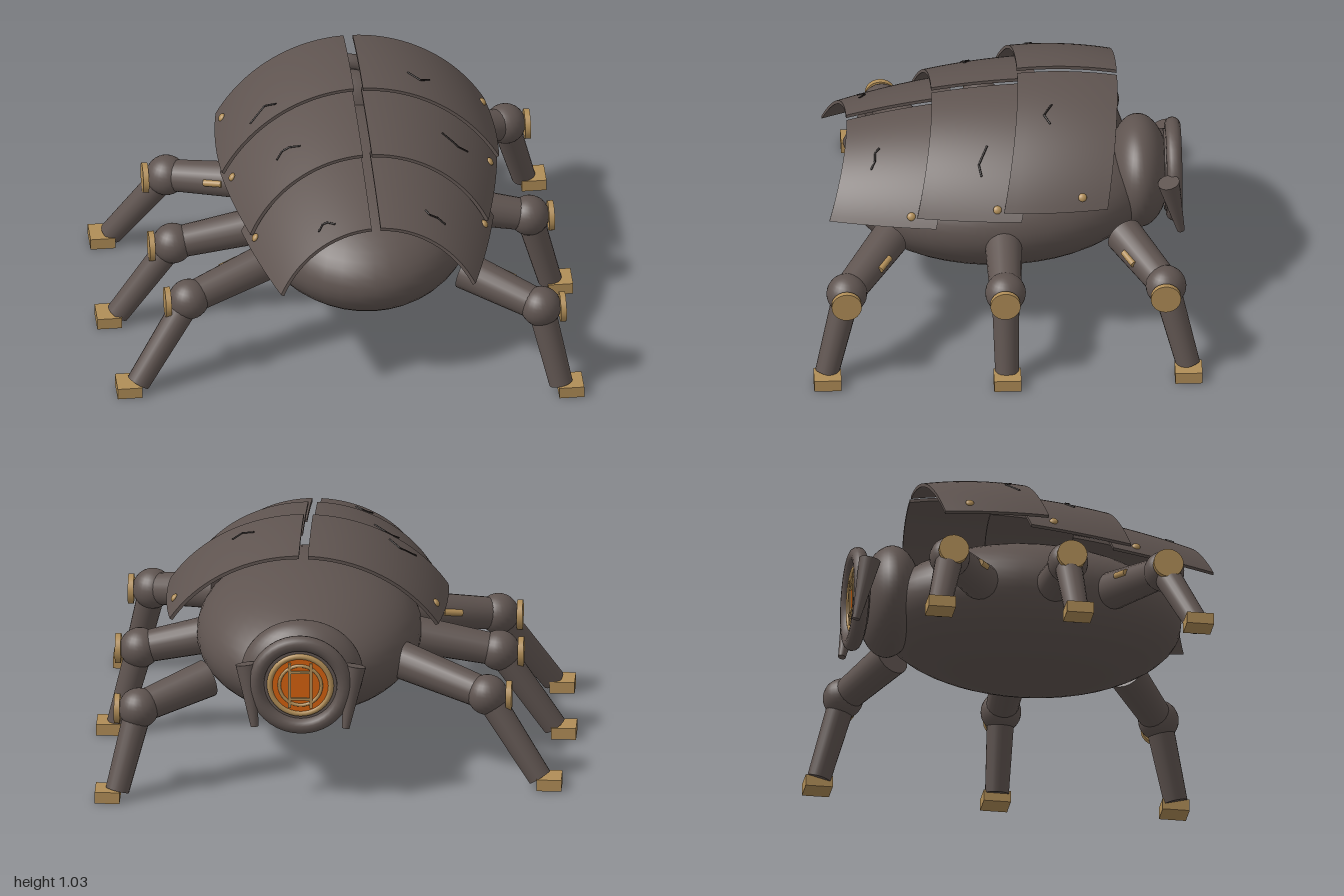
import * as THREE from 'three';

const mat = (name, color) => {
  const m = new THREE.MeshStandardMaterial({ color });
  m.name = name;
  return m;
};
const V = (x, y, z) => new THREE.Vector3(x, y, z);
const CX = 0.112; // centre line of the body

// Shell plates, front to rear: [front edge, rear edge] values at the ridge (top) and at the side
const PLATES = [
  { zTop: [0.64, 0.2], yTop: [0.805, 0.888], zSide: [0.726, 0.285], ySide: [0.555, 0.582], w: [0.408, 0.53], bulge: 0.008 },
  { zTop: [0.285, -0.15], yTop: [0.932, 0.97], zSide: [0.363, -0.07], ySide: [0.618, 0.64], w: [0.5, 0.582], bulge: 0.008 },
  { zTop: [-0.073, -0.49], yTop: [1.02, 1.0], zSide: [0.004, -0.43], ySide: [0.687, 0.684], w: [0.582, 0.562], bulge: 0.014 },
];

// Circular arc of a plate at fraction f of its length
function arcAt(p, f) {
  const mix = (a) => a[0] + (a[1] - a[0]) * f;
  const b = p.bulge * 4 * f * (1 - f);
  const w = mix(p.w) + b, y = mix(p.yTop) + b, drop = y - mix(p.ySide);
  const R = (w * w + drop * drop) / (2 * drop);
  return { y, drop, R, max: Math.asin(w / R), z: mix(p.zTop), dz: mix(p.zSide) - mix(p.zTop) };
}

function platePoint(p, s, f, theta, depth) {
  const a = arcAt(p, f);
  const fall = a.R * (1 - Math.cos(theta));
  const r = a.R - depth;
  return V(CX + s * r * Math.sin(theta), a.y - a.R + r * Math.cos(theta), a.z + a.dz * fall / a.drop);
}

// Point on a plate from its offset u from the centre line and its z
function onPlate(p, u, z, lift) {
  let f = 0.5, theta = 0;
  for (let i = 0; i < 12; i++) {
    const a = arcAt(p, f);
    theta = Math.asin(Math.min(1, Math.abs(u) / a.R));
    const ridgeZ = z - a.dz * a.R * (1 - Math.cos(theta)) / a.drop;
    f = (ridgeZ - p.zTop[0]) / (p.zTop[1] - p.zTop[0]);
  }
  return { pos: platePoint(p, Math.sign(u), f, theta, -lift), angle: -Math.sign(u) * theta };
}

// A box bent into half of a shell plate
function plateGeometry(p, s) {
  const g = new THREE.BoxGeometry(1, 1, 1, 24, 1, 10);
  const pos = g.attributes.position;
  for (let i = 0; i < pos.count; i++) {
    const f = 0.5 - pos.getZ(i);
    const t = 0.5 + s * pos.getX(i);
    const a = arcAt(p, f);
    const start = Math.asin(0.019 / a.R);
    const q = platePoint(p, s, f, start + (a.max - start) * t, (0.5 - pos.getY(i)) * 0.014);
    pos.setXYZ(i, q.x, q.y, q.z);
  }
  g.computeVertexNormals();
  return g;
}

export function createModel() {
  const shell = mat('dark brown metal', 0x5f5450);
  const brass = mat('brass', 0xb08d57);
  const glow = mat('orange eye', 0xd4600f);
  const crack = mat('crack black', 0x1f1a19);

  const model = new THREE.Group();
  model.name = 'mechanicalBeetle';
  const add = (name, geo, m, x = 0, y = 0, z = 0, parent = model) => {
    const mesh = new THREE.Mesh(geo, m);
    mesh.name = name;
    mesh.position.set(x, y, z);
    parent.add(mesh);
    return mesh;
  };
  // Tapered rod from a to b
  const rod = (name, a, b, ra, rb, m, parent) => {
    const d = b.clone().sub(a), c = a.clone().add(b).multiplyScalar(0.5);
    const mesh = add(name, new THREE.CylinderGeometry(rb, ra, d.length(), 20), m, c.x, c.y, c.z, parent);
    mesh.quaternion.setFromUnitVectors(V(0, 1, 0), d.normalize());
    return mesh;
  };

  // Body and head
  const ball = new THREE.SphereGeometry(1, 40, 28);
  add('body', ball, shell, CX, 0.47, 0.01).scale.set(0.47, 0.28, 0.64);
  add('head', ball, shell, CX, 0.515, -0.58).scale.set(0.255, 0.23, 0.13);

  // Eye with rim and grille
  const eye = new THREE.Group();
  eye.name = 'eye';
  eye.position.set(CX, 0.517, -0.725);
  eye.rotation.y = Math.PI;
  model.add(eye);
  add('eyeSocketRim', new THREE.TorusGeometry(0.185, 0.033, 14, 40), shell, 0, 0, 0, eye);
  add('eyeBacking', new THREE.CylinderGeometry(0.17, 0.17, 0.04, 32), shell, 0, 0, -0.02, eye).rotation.x = Math.PI / 2;
  add('eyeLens', new THREE.CylinderGeometry(0.125, 0.125, 0.03, 32), glow, 0, 0, -0.006, eye).rotation.x = Math.PI / 2;
  add('eyeRing', new THREE.TorusGeometry(0.128, 0.012, 10, 36), brass, 0, 0, 0.006, eye);
  add('innerEyeRing', new THREE.TorusGeometry(0.088, 0.007, 8, 32), brass, 0, 0, 0.01, eye);
  for (const s of [-1, 1]) {
    add('grilleBar', new THREE.BoxGeometry(0.012, 0.2, 0.012), brass, s * 0.045, 0, 0.012, eye);
    add('grilleCrossbar', new THREE.BoxGeometry(0.09, 0.01, 0.012), brass, 0, s * 0.06, 0.012, eye);
    // Mandibles hanging beside the eye
    const top = V(CX + s * 0.227, 0.595, -0.697);
    rod('mandible', top, V(CX + s * 0.19, 0.335, -0.75), 0.046, 0.016, shell, model);
  }

  // Shell plates in two halves
  PLATES.forEach((p) => {
    for (const s of [-1, 1]) add('shellPlate', plateGeometry(p, s), shell);
  });

  // Rivets near the plate sides
  [[0.48, 0.387], [0.54, 0.03], [0.546, -0.325]].forEach(([u, z], i) => {
    for (const s of [-1, 1]) {
      const { pos, angle } = onPlate(PLATES[i], s * u, z, 0.002);
      const rivet = add('rivet', new THREE.SphereGeometry(0.018, 14, 10), brass, pos.x, pos.y, pos.z);
      rivet.scale.y = 0.6;
      rivet.rotation.z = angle;
    }
  });

  // Cracks as thin zigzags: plate index, then [u, z] points
  [
    [0, [0.22, 0.51], [0.235, 0.528], [0.27, 0.53], [0.3, 0.548]],
    [0, [-0.235, 0.583], [-0.215, 0.555], [-0.195, 0.555], [-0.165, 0.578]],
    [1, [0.335, 0.065], [0.38, 0.09], [0.4, 0.102], [0.44, 0.092]],
    [1, [-0.365, 0.145], [-0.34, 0.115], [-0.31, 0.115], [-0.265, 0.137]],
    [2, [0.22, -0.21], [0.27, -0.175], [0.31, -0.2]],
    [2, [-0.45, -0.1], [-0.385, -0.148], [-0.34, -0.12]],
  ].forEach(([i, ...pts]) => {
    const q = pts.map(([u, z]) => onPlate(PLATES[i], u, z, 0.001).pos);
    for (let k = 1; k < q.length; k++) rod('crack', q[k - 1], q[k], 0.004, 0.004, crack, model);
  });

  // Legs: hip, knee and foot as [x, z]
  [
    ['frontLeftLeg', [0.5, 0.475], [0.8, 0.665], [0.915, 0.75]],
    ['middleLeftLeg', [0.5, 0], [0.82, 0.003], [0.947, 0]],
    ['rearLeftLeg', [0.51, -0.505], [0.79, -0.668], [0.915, -0.757]],
    ['frontRightLeg', [-0.275, 0.3], [-0.655, 0.46], [-0.918, 0.565]],
    ['middleRightLeg', [-0.275, 0.05], [-0.68, 0.05], [-0.95, 0.053]],
    ['rearRightLeg', [-0.275, -0.25], [-0.655, -0.445], [-0.918, -0.525]],
  ].forEach(([name, h, k, f]) => {
    const leg = new THREE.Group();
    leg.name = name;
    model.add(leg);
    const s = Math.sign(k[0]);
    const hip = V(h[0], 0.45, h[1]), knee = V(k[0], 0.375, k[1]);
    const ankle = V(f[0] - s * 0.04, 0.04, f[1]);
    rod('upperLeg', hip, knee, 0.08, 0.066, shell, leg);
    add('kneeJoint', new THREE.SphereGeometry(0.085, 24, 16), shell, knee.x, knee.y, knee.z, leg);
    rod('lowerLeg', knee, ankle, 0.058, 0.05, shell, leg);
    add('kneeCap', new THREE.CylinderGeometry(0.063, 0.063, 0.024, 24), brass, knee.x + s * 0.09, 0.37, knee.z + 0.004, leg).rotation.z = Math.PI / 2;
    add('foot', new THREE.BoxGeometry(0.104, 0.05, 0.114), brass, f[0], 0.025, f[1], leg);
    // Small brass pin along the inner side of the outer legs
    if (!name.startsWith('middle')) {
      const dir = knee.clone().sub(hip).normalize();
      const side = V(-dir.z, 0, dir.x).normalize();
      if (side.z * k[1] > 0) side.negate();
      const mid = hip.clone().lerp(knee, 0.45).addScaledVector(side, 0.07).add(V(0, 0.02, 0));
      rod('legPin', mid.clone().addScaledVector(dir, -0.04), mid.clone().addScaledVector(dir, 0.04), 0.014, 0.014, brass, leg);
    }
  });

  return model;
}
